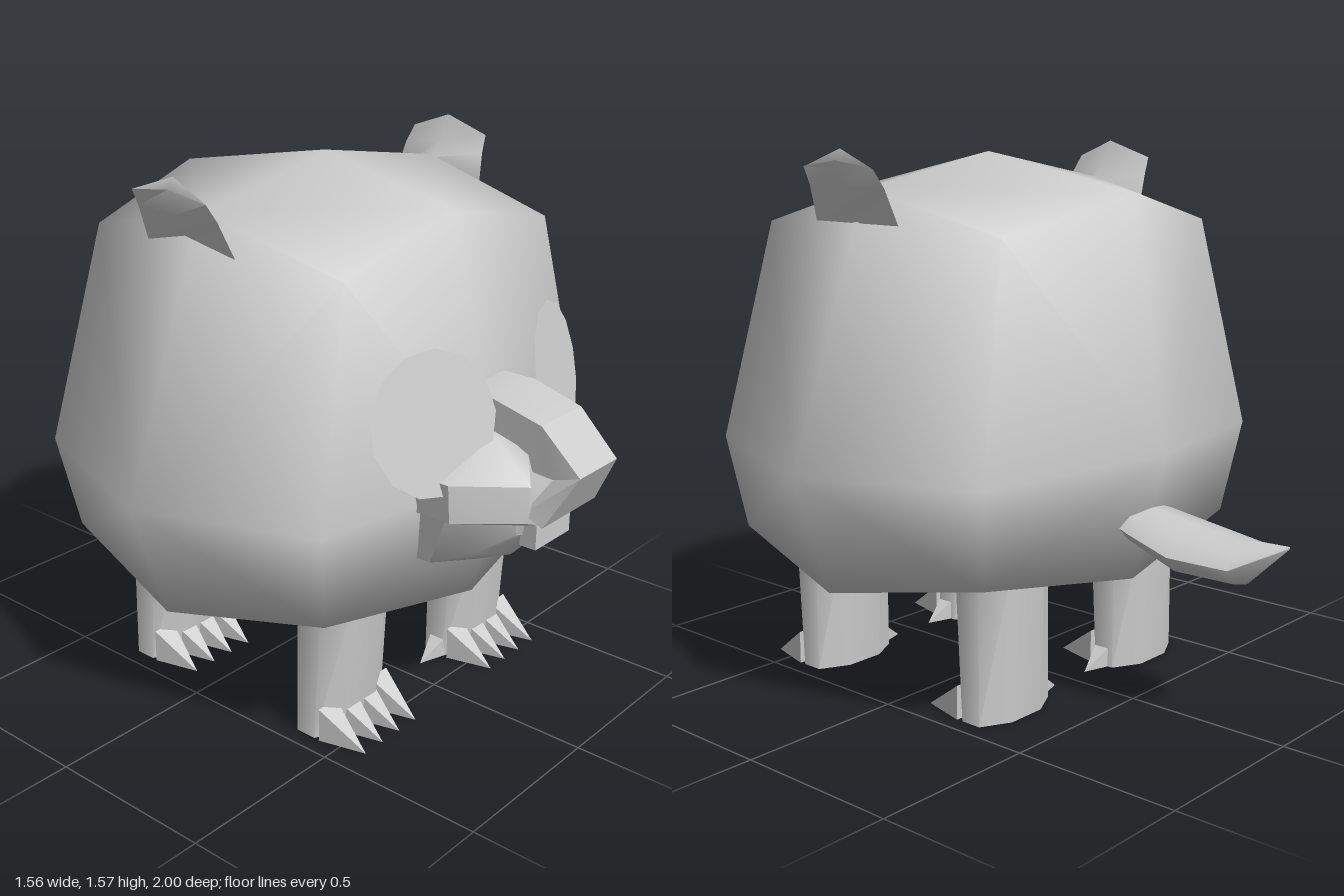
import * as THREE from 'three';
import { mergeVertices, toCreasedNormals } from 'three/addons/utils/BufferGeometryUtils.js';
import { ConvexGeometry } from 'three/addons/geometries/ConvexGeometry.js';

const grey = new THREE.MeshStandardMaterial({ color: 0xcccccc });
const thin = new THREE.MeshStandardMaterial({ color: 0xcccccc, side: THREE.DoubleSide });

function add(parent, name, geometry, material = grey) {
  const mesh = new THREE.Mesh(geometry, material);
  mesh.name = name;
  parent.add(mesh);
  return mesh;
}

// Skin between rings of [x, y, z] points (counter-clockwise seen from the end), capped.
function loft(rings, crease = 0.6) {
  const n = rings[0].length, index = [], last = (rings.length - 1) * n;
  for (let r = 0; r < rings.length - 1; r++) {
    for (let i = 0; i < n; i++) {
      const a = r * n + i, b = r * n + (i + 1) % n;
      index.push(a, b, b + n, a, b + n, a + n);
    }
  }
  for (let i = 1; i < n - 1; i++) index.push(0, i + 1, i, last, last + i, last + i + 1);
  const g = new THREE.BufferGeometry();
  g.setAttribute('position', new THREE.Float32BufferAttribute(rings.flat(2), 3));
  g.setIndex(index);
  return toCreasedNormals(g, crease);
}

// Completes half a ring (given from the bottom up on +x) with its mirror image.
const mirrored = (half) => [...half, ...half.slice().reverse().map(([x, y, z]) => [-x, y, z])];

// Rounded body: three levels, each with a centre line, sides, front/back and corners
function bodyGeometry() {
  const levels = [
    { side: [0.66, 0.36], end: [0.36, 0.62, -0.49], corner: [0.55, 0.44, 0.54, -0.42] },
    { side: [0.78, 0.71], end: [0.74, 0.70, -0.60], corner: [0.60, 0.72, 0.57, -0.46] },
    { side: [0.50, 1.46], end: [1.45, 0.52, -0.48], corner: [0.45, 1.35, 0.51, -0.39] },
  ];
  const points = [new THREE.Vector3(0, 0.21, 0.06), new THREE.Vector3(0, 1.55, 0.06)];
  for (const { side, end, corner } of levels) {
    for (const k of [0, 1]) {
      const s = k ? -1 : 1;
      points.push(new THREE.Vector3(s * side[0], side[1], 0.06));
      points.push(new THREE.Vector3(0, end[0], end[1 + k]));
      for (const x of [1, -1]) points.push(new THREE.Vector3(x * corner[0], corner[1], corner[2 + k]));
    }
  }
  let g = new ConvexGeometry(points);
  g.deleteAttribute('normal');
  g = mergeVertices(g, 1e-4);
  g.computeVertexNormals();
  return g;
}

// Pyramid claw pointing along +z, its tip dropped to the ground
function clawGeometry(width, height, length) {
  const g = new THREE.ConeGeometry(Math.SQRT1_2, 1, 4, 1);
  g.rotateY(Math.PI / 4).rotateX(Math.PI / 2).translate(0, 0.5, 0.5);
  const p = g.attributes.position;
  for (let i = 0; i < p.count; i++) p.setY(i, p.getY(i) - 0.5 * p.getZ(i));
  g.scale(width, height, length);
  return toCreasedNormals(g, 0.3);
}

function leg(name, side, z) {
  const group = new THREE.Group();
  group.name = name;
  const shape = new THREE.CylinderGeometry(0.16, 0.16, 0.5, 8).rotateY(Math.PI / 8);
  const p = shape.attributes.position;
  for (let i = 0; i < p.count; i++) {
    const top = p.getY(i) > 0;
    p.setZ(i, p.getZ(i) * (top ? 0.72 : 0.52) + (top ? 0.015 : 0));
  }
  shape.translate(0, 0.25, 0);
  shape.computeVertexNormals();
  add(group, 'legColumn', toCreasedNormals(shape, 1));
  for (let i = 0; i < 4; i++) {
    add(group, 'claw', clawGeometry(0.075, 0.1, 0.14)).position.set(-0.1125 + i * 0.075, 0, 0.05);
  }
  const inner = add(group, 'innerClaw', clawGeometry(0.06, 0.07, 0.1));
  inner.rotation.y = -side * Math.PI / 2;
  inner.position.set(-side * 0.13, 0, 0.01);
  group.position.set(side * 0.3, 0, z);
  return group;
}

function earGeometry(side) {
  const base = [[0.50, 1.45, 0.06], [0.53, 1.37, -0.10], [0.55, 1.41, 0.06], [0.53, 1.37, 0.22]];
  const middle = [[0.545, 1.50, 0.06], [0.57, 1.47, -0.09], [0.59, 1.47, 0.06], [0.57, 1.47, 0.20]];
  const tip = [[0.585, 1.57, 0.06], [0.60, 1.52, -0.08], [0.605, 1.54, 0.06], [0.60, 1.52, 0.19]];
  return loft([base, middle, tip].map((ring) => {
    const r = ring.map(([x, y, z]) => [side * x, y, z]);
    return side > 0 ? r.reverse() : r;
  }), 0.9);
}

export function createModel() {
  const model = new THREE.Group();
  model.name = 'animal';
  add(model, 'body', bodyGeometry());

  // Muzzle: upper lip and lower jaw
  const lipBack = [[0.04, 0.64], [0.29, 0.71], [0.30, 0.82], [0.11, 0.91]];
  add(model, 'upperMuzzle', loft([
    mirrored(lipBack.map(([x, y]) => [x, y, 0.55])),
    mirrored(lipBack.map(([x, y]) => [x, y, 0.74])),
    mirrored([[0.04, 0.655, 0.87], [0.14, 0.70, 0.88], [0.13, 0.80, 0.88], [0.09, 0.88, 0.84]]),
  ]));
  add(model, 'lowerJaw', loft([
    mirrored([[0.01, 0.46, 0.55], [0.26, 0.56, 0.50], [0.28, 0.74, 0.55]]),
    mirrored([[0.01, 0.465, 0.63], [0.26, 0.56, 0.66], [0.28, 0.74, 0.73]]),
    mirrored([[0.01, 0.52, 0.75], [0.18, 0.58, 0.74], [0.22, 0.72, 0.78]]),
    mirrored([[0.01, 0.62, 0.84], [0.11, 0.64, 0.83], [0.13, 0.71, 0.84]]),
  ]));
  add(model, 'teeth', new THREE.BoxGeometry(0.165, 0.07, 0.05)).position.set(0, 0.635, 0.85);

  // Nose bridge bending down to the tip: half width, lower y/z, upper y/z
  const noseRings = [
    [0.10, 0.80, 0.58, 1.00, 0.60],
    [0.10, 0.80, 0.70, 1.00, 0.73],
    [0.095, 0.83, 0.82, 0.96, 0.88],
    [0.09, 0.82, 0.92, 0.845, 1.00],
    [0.13, 0.72, 0.86, 0.695, 0.92],
  ].map(([w, yb, zb, yt, zt]) => mirrored([[w, yb, zb], [w, yt, zt]]));
  add(model, 'nose', loft(noseRings, 0.3));

  // Eye patches, ears and legs on both sides
  for (const side of [1, -1]) {
    const label = side > 0 ? 'left' : 'right';
    const eye = add(model, label + 'EyePatch', new THREE.CircleGeometry(0.195, 13), thin);
    eye.position.set(side * 0.285, 0.97, 0.68);
    eye.lookAt(side * 0.615, 1.22, 1.68);
    add(model, label + 'Ear', earGeometry(side), thin);
    model.add(leg(label + 'FrontLeg', side, 0.385), leg(label + 'BackLeg', side, -0.275));
  }

  // Tail: centre y, z, half width and half height, narrowing to an upturned tip
  const tailRings = [
    [0.55, -0.46, 0.09, 0.04], [0.53, -0.56, 0.12, 0.05], [0.495, -0.70, 0.135, 0.065],
    [0.485, -0.87, 0.10, 0.06], [0.55, -0.995, 0.004, 0.004],
  ].map(([y, z, w, h]) => Array.from({ length: 8 }, (_, i) => {
    const a = -i * Math.PI / 4;
    return [w * Math.cos(a), y + h * Math.sin(a), z];
  }));
  add(model, 'tail', loft(tailRings, 1));
  return model;
}
